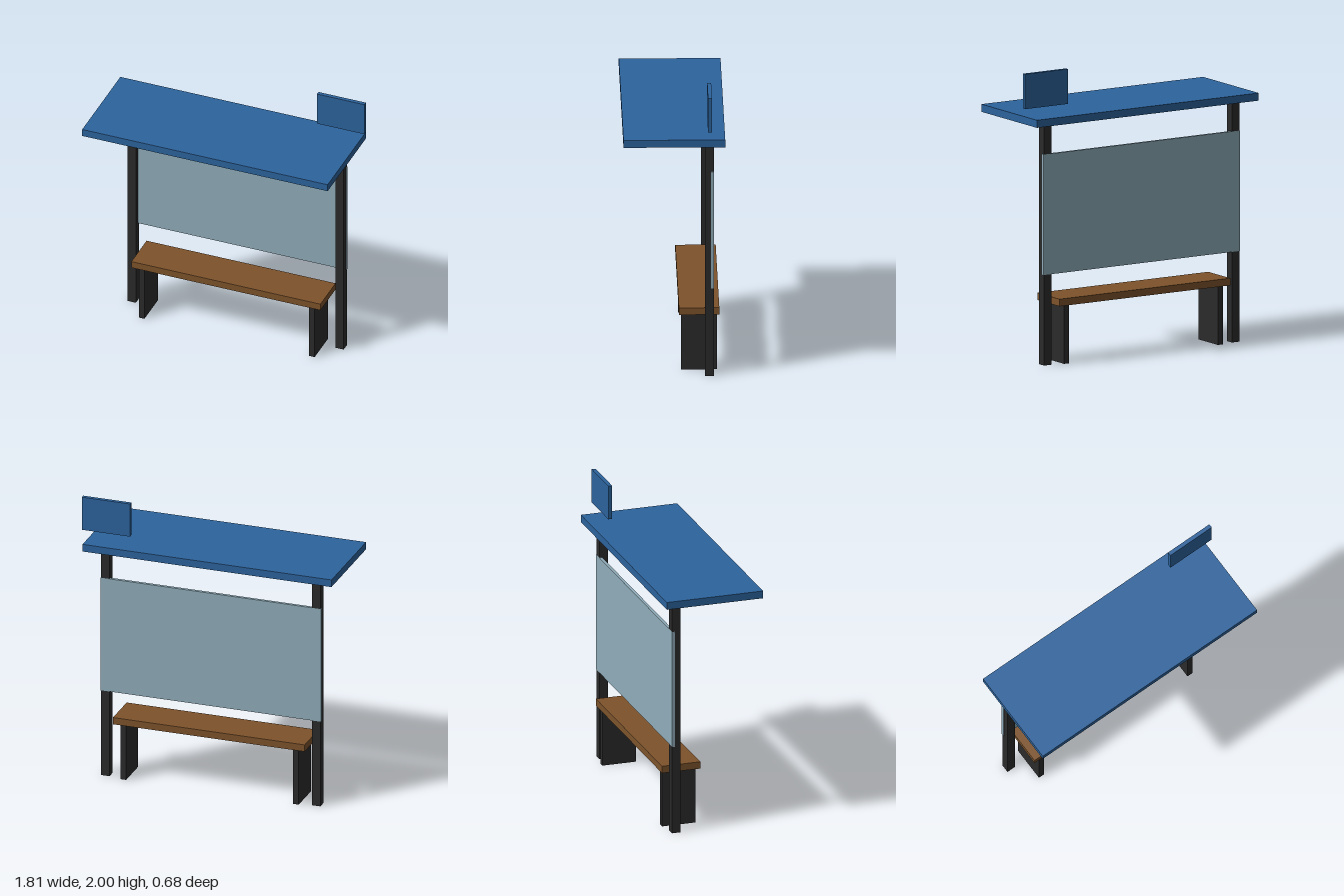
import * as THREE from 'three';

const material = (name, color) => {
  const m = new THREE.MeshStandardMaterial({ color });
  m.name = name;
  return m;
};

export function createModel() {
  const model = new THREE.Group();
  model.name = 'busShelter';

  const blue = material('blue paint', 0x2c639c);
  const steel = material('dark steel', 0x2b2b2b);
  const glass = material('pale glass', 0x90adba);
  const wood = material('brown wood', 0x7d532b);

  // Box given by its extents along each axis
  const slab = (name, mat, [x0, x1], [y0, y1], [z0, z1]) => {
    const mesh = new THREE.Mesh(new THREE.BoxGeometry(x1 - x0, y1 - y0, z1 - z0), mat);
    mesh.position.set((x0 + x1) / 2, (y0 + y1) / 2, (z0 + z1) / 2);
    mesh.name = name;
    model.add(mesh);
  };

  // The shelter is symmetric about this line; the sign overhangs to the left
  const mid = -0.018;

  // Roof and raised sign
  slab('roof', blue, [mid - 0.887, mid + 0.887], [1.645, 1.697], [-0.341, 0.341]);
  slab('sign', blue, [0.563, 0.905], [1.762, 2], [-0.252, -0.225]);

  // Rear glass panel, set flush into the backs of the posts
  slab('glassPanel', glass, [mid - 0.785, mid + 0.785], [0.618, 1.44], [-0.268, -0.247]);

  // Bench seat
  slab('benchSeat', wood, [mid - 0.683, mid + 0.683], [0.4, 0.449], [-0.305, -0.034]);

  // Posts and bench legs, one pair per side
  for (const [side, s] of [['left', 1], ['right', -1]]) {
    const post = mid + s * 0.751;
    const leg = mid + s * 0.615;
    slab(side + 'Post', steel, [post - 0.03, post + 0.03], [0, 1.645], [-0.267, -0.207]);
    slab(side + 'BenchLeg', steel, [leg - 0.02, leg + 0.02], [0, 0.4], [-0.289, -0.05]);
  }

  return model;
}
